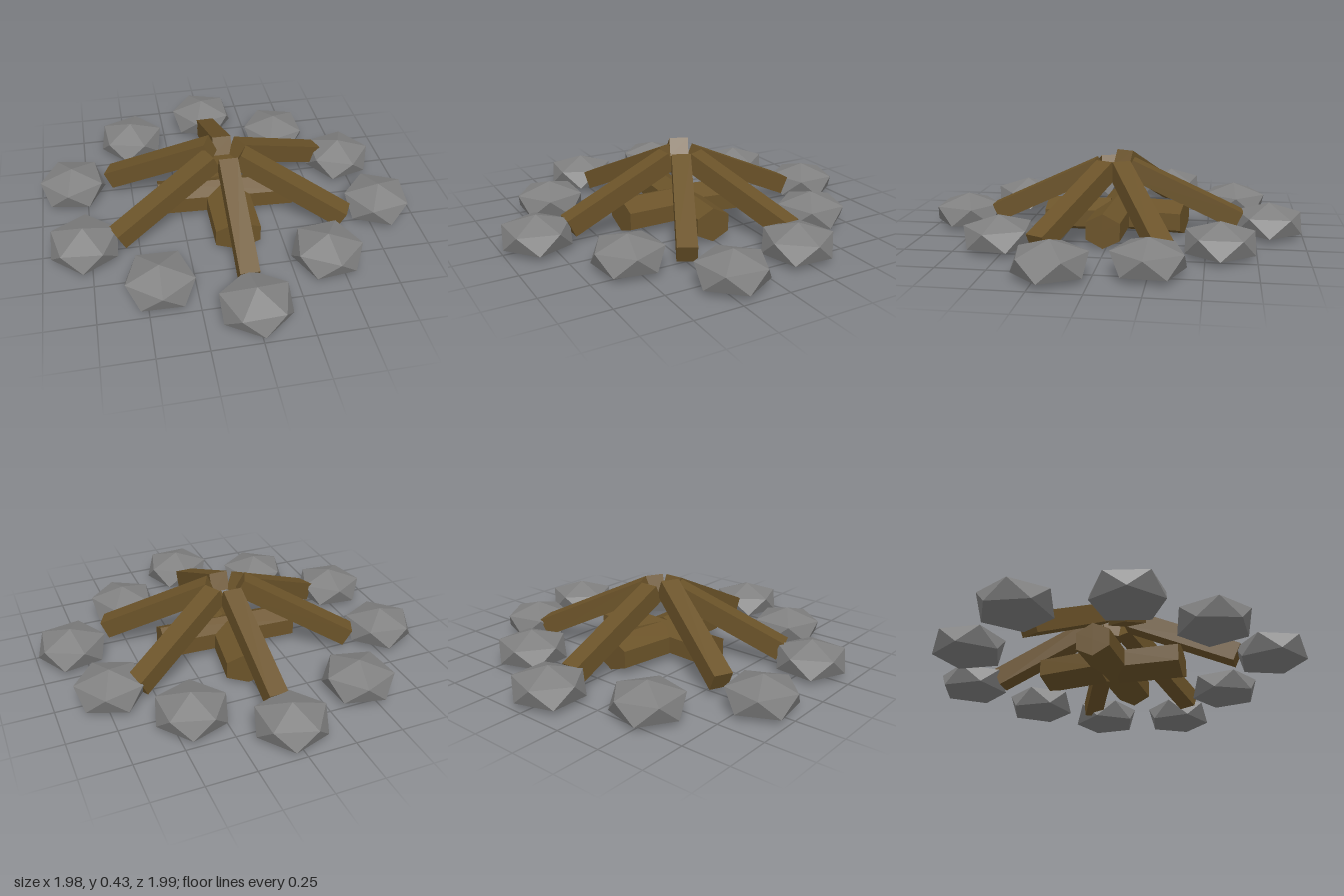
import * as THREE from 'three';

const wood = new THREE.MeshStandardMaterial({ color: 0x6b5329, flatShading: true });
const rock = new THREE.MeshStandardMaterial({ color: 0x808080, flatShading: true });

// Faceted boulder: squashed icosahedron, point up, with a flattened underside
function stoneGeometry() {
  const g = new THREE.IcosahedronGeometry(0.2, 0);
  g.rotateZ(Math.atan(2 / (1 + Math.sqrt(5))));
  g.scale(1, 0.525, 1);
  const p = g.attributes.position;
  for (let i = 0; i < p.count; i++) p.setY(i, Math.max(p.getY(i), -0.068));
  g.computeVertexNormals();
  return g;
}

// Six-sided log lying along z, with upright side faces
function logGeometry(width, height, length) {
  const g = new THREE.CylinderGeometry(1, 1, length, 6);
  g.rotateX(Math.PI / 2);
  g.scale(width / Math.sqrt(3), height / 2, 1);
  return g;
}

export function createModel() {
  const group = new THREE.Group();
  const add = (name, geometry, material, x, y, z, yaw = 0) => {
    const mesh = new THREE.Mesh(geometry, material);
    mesh.name = name;
    mesh.position.set(x, y, z);
    mesh.rotation.y = yaw;
    group.add(mesh);
    return mesh;
  };

  // Ring of stones
  const stone = stoneGeometry();
  const ring = [
    [0, -0.82], [-0.46, -0.64], [-0.82, -0.25], [-0.78, 0.26], [-0.43, 0.59],
    [0, 0.82], [0.43, 0.525], [0.81, 0.185], [0.715, -0.25], [0.405, -0.57],
  ];
  ring.forEach(([x, z], i) => add('ringStone', stone, rock, x, 0.076, z, i * 0.7));

  // Logs lying on the ground: a long one across, a short one at front and back
  add('crossLog', logGeometry(0.175, 0.18, 0.73), wood, 0, 0.092, -0.005, Math.PI / 2 - 0.05);
  add('frontLog', logGeometry(0.234, 0.18, 0.34), wood, 0.005, 0.09, 0.19);
  add('backLog', logGeometry(0.234, 0.18, 0.34), wood, -0.005, 0.09, -0.21, -0.155);

  // Six square poles leaning together: [x, z] of the foot and extra height at the tip
  const poles = [
    [0, 0.652, 0], [0, -0.665, 0], [0.59, 0.295, 0],
    [0.59, -0.3, 0], [-0.61, 0.255, 0], [-0.605, -0.275, 0.03],
  ];
  for (const [x, z, lift] of poles) {
    const r = Math.hypot(x, z);
    const foot = new THREE.Vector3(x, 0.085, z);
    const tip = new THREE.Vector3(x / r * 0.08, 0.352 + lift, z / r * 0.08);
    const mid = foot.clone().add(tip).multiplyScalar(0.5);
    const pole = add('leaningPole', new THREE.BoxGeometry(0.1, 0.1, foot.distanceTo(tip)), wood, mid.x, mid.y, mid.z);
    pole.lookAt(foot);
  }
  return group;
}
